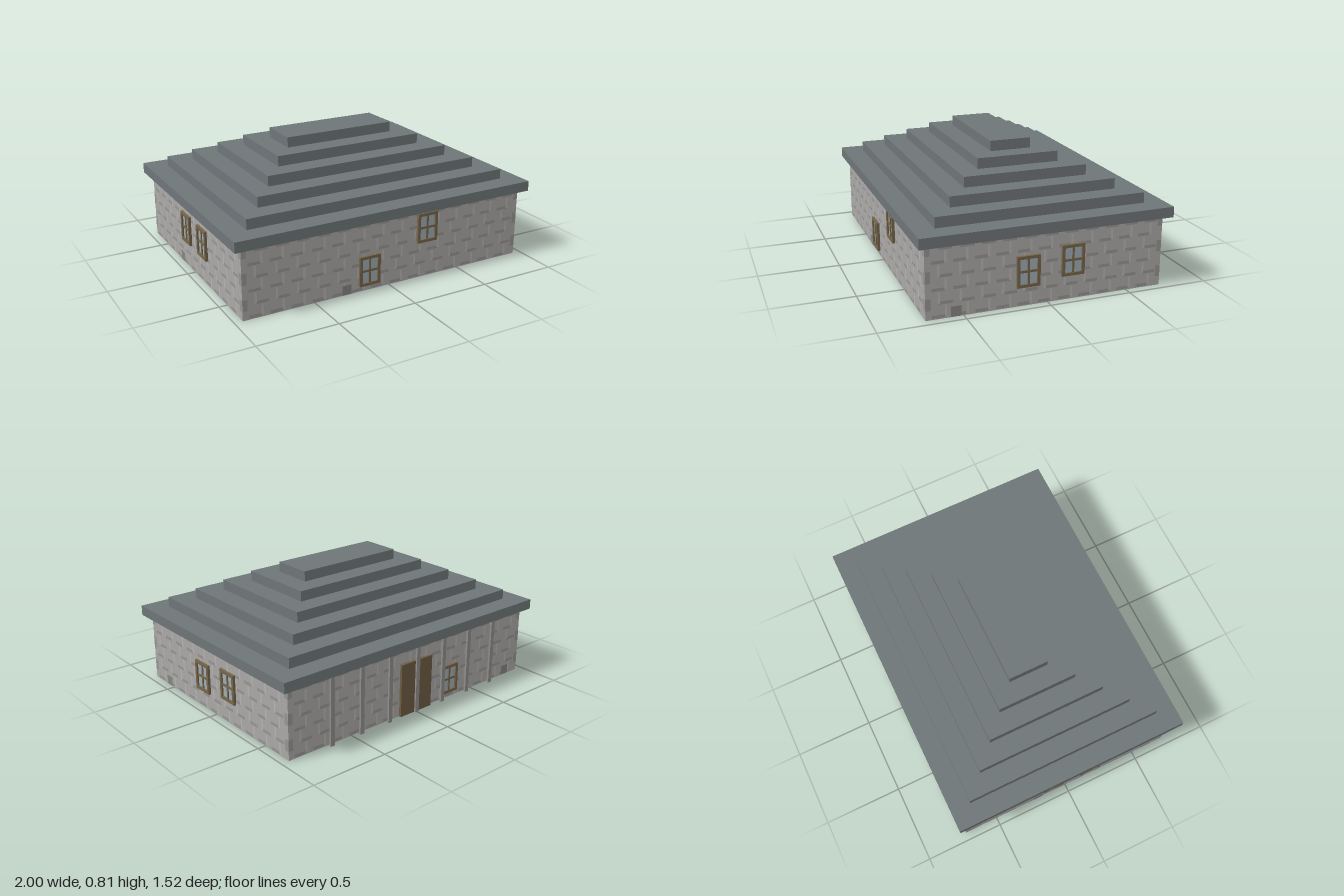
import * as THREE from 'three';
import { mergeGeometries } from 'three/addons/utils/BufferGeometryUtils.js';

const mat = (color) => new THREE.MeshStandardMaterial({ color });
const M = {
  wall: mat(0xaaa8a6), course: mat(0x969492), joint: mat(0xb6b4b2), patch: mat(0x868482),
  roof: mat(0x6e7578), frame: mat(0x75654a), glass: mat(0x9cabb3), door: mat(0x6c5c42), post: mat(0x8f8d8b),
};
const HX = 0.95, HZ = 0.72, WALL_H = 0.432;

// Box given by its centre and size
function boxGeo(x, y, z, w, h, d) {
  return new THREE.BoxGeometry(w, h, d).translate(x, y, z);
}
function part(name, geos, material) {
  const mesh = new THREE.Mesh(geos.length > 1 ? mergeGeometries(geos) : geos[0], material);
  mesh.name = name;
  return mesh;
}
// Flat rectangle lying just in front of a wall
function flat(x, y, w, h, z) {
  return new THREE.PlaneGeometry(w, h).translate(x, y, z);
}

// Four-pane window, centred on x, standing on y, facing +z
function makeWindow(x, y) {
  const g = new THREE.Group(), w = 0.14, h = 0.187, b = 0.018, d = 0.016;
  g.name = 'window';
  const frame = [-1, 1].flatMap((s) => [
    boxGeo(s * (w - b) / 2, 0, d / 2, b, h, d),
    boxGeo(0, s * (h - b) / 2, d / 2, w - 2 * b, b, d),
  ]);
  const bars = [
    boxGeo(0, 0, 0.006, 0.012, h - 2 * b, 0.012),
    boxGeo(0, 0, 0.006, w - 2 * b, 0.014, 0.0118),
  ];
  g.add(part('windowFrame', frame, M.frame), part('windowBars', bars, M.frame));
  g.add(part('windowGlass', [boxGeo(0, 0, 0.003, w - 2 * b, h - 2 * b, 0.006)], M.glass));
  g.position.set(x, y + h / 2, 0);
  return g;
}

// Stone pattern of one wall: dashed courses, upright joints, corner stones
function makeMasonry(half, patchX) {
  const g = new THREE.Group(), dark = [], light = [], corner = [];
  g.name = 'masonry';
  const inner = half - 0.035, n = Math.round(2 * inner / 0.13), step = 2 * inner / n;
  for (let row = 0; row < 6; row++) {
    const y = 0.015 + row * 0.079;
    for (let i = 0; i < n; i++) {
      const x = -inner + (i + 0.5) * step;
      const shift = row % 2 ? 0.02 : -0.02;
      dark.push(flat(x + shift, y, 0.08, 0.018, 0.001));
      if (row < 5) light.push(flat(x - shift, y + 0.03, 0.014, 0.07, 0.0015));
    }
    if (row % 2 === 0 && row < 5) {
      const y2 = y + 0.055;
      for (const s of [-1, 1]) corner.push(flat(s * (half - 0.0155), y2 + 0.02, 0.03, 0.07, 0.001));
    }
  }
  g.add(part('courses', dark, M.course), part('joints', light, M.joint), part('cornerStones', corner, M.course));
  g.add(part('baseStone', [flat(patchX, 0.032, 0.062, 0.062, 0.002)], M.patch));
  return g;
}

// One side of the house, in its own frame with +z outward
function makeSide(name, angle, half, dist, patchX, windows) {
  const g = new THREE.Group();
  g.name = name;
  g.add(makeMasonry(half, patchX), ...windows.map(([x, y]) => makeWindow(x, y)));
  g.rotation.y = angle;
  g.position.set(Math.sin(angle) * dist, 0, Math.cos(angle) * dist);
  return g;
}

export function createModel() {
  const house = new THREE.Group();
  house.name = 'house';

  house.add(part('walls', [boxGeo(0, WALL_H / 2, 0, 2 * HX, WALL_H, 2 * HZ)], M.wall));

  // Stepped roof
  const stepH = 0.0635;
  for (let i = 0; i < 6; i++) {
    const tier = part('roofTier', [boxGeo(0, WALL_H + (i + 0.5) * stepH, 0,
      2 * (1 - i * 0.127), stepH, 2 * (0.762 - i * 0.127))], M.roof);
    house.add(tier);
  }

  // Sides with their windows
  const back = makeSide('backSide', Math.PI, HX, HZ, 0.83, [[0.29, 0.035]]);
  house.add(
    makeSide('frontSide', 0, HX, HZ, -0.29, [[-0.14, 0.035], [0.26, 0.228]]),
    makeSide('rightHandSide', Math.PI / 2, HZ, HX, -0.545, [[-0.122, 0.115], [0.15, 0.147]]),
    makeSide('leftHandSide', -Math.PI / 2, HZ, HX, -0.2, [[-0.1, 0.165], [0.16, 0.165]]),
    back,
  );

  // Back door and the row of posts before it
  back.add(part('door', [boxGeo(0, 0.168, 0.008, 0.25, 0.336, 0.016)], M.door));
  for (let i = -3; i <= 3; i++) {
    back.add(part('post', [boxGeo(i * 0.22, WALL_H / 2, 0.02, 0.028, WALL_H, 0.013)], M.post));
  }
  return house;
}
